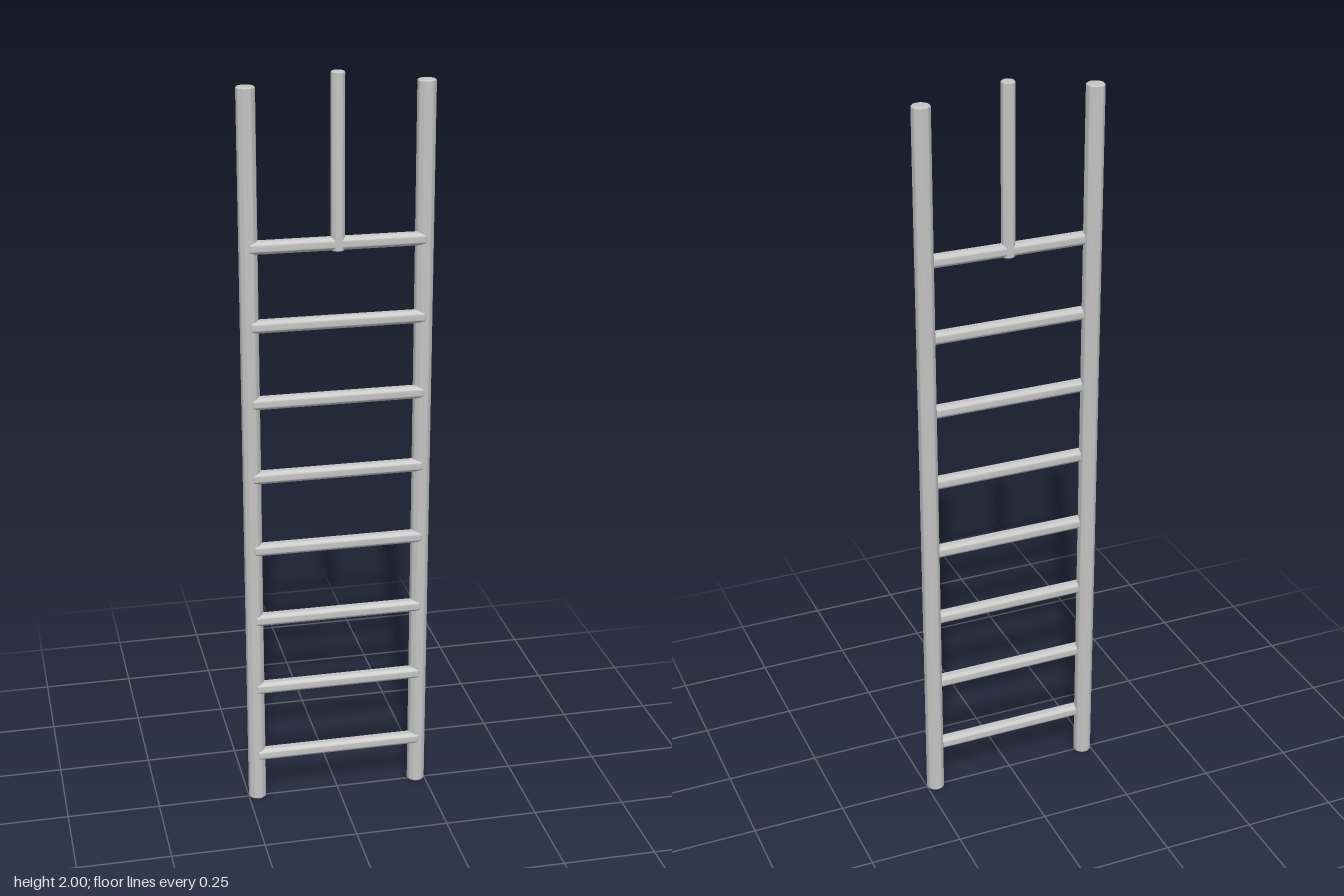
import * as THREE from 'three';
import { toCreasedNormals } from 'three/addons/utils/BufferGeometryUtils.js';

export function createModel() {
  const group = new THREE.Group();
  const metal = new THREE.MeshStandardMaterial({ color: 0xc4c4c4 });
  metal.name = 'light grey metal';

  // round rod with slightly bevelled ends
  const addRod = (name, radius, length, x, y, z) => {
    const h = length / 2;
    const bevel = 0.003;
    const profile = [
      [0, -h], [radius - bevel, -h], [radius, -h + bevel],
      [radius, h - bevel], [radius - bevel, h], [0, h],
    ].map(([r, v]) => new THREE.Vector2(r, v));
    const rod = new THREE.Mesh(toCreasedNormals(new THREE.LatheGeometry(profile, 32), 0.6), metal);
    rod.name = name;
    rod.position.set(x, y, z);
    group.add(rod);
    return rod;
  };

  // side rails
  addRod('leftRail', 0.024, 1.97, 0.226, 0.985, -0.002);
  addRod('rightRail', 0.024, 1.97, -0.226, 0.985, -0.002);

  // evenly spaced rungs, set slightly forward of the rails
  for (let i = 0; i < 8; i++) {
    addRod(`rung${i + 1}`, 0.018, 0.453, 0, 0.136 + i * 0.205, 0.0075).rotation.z = Math.PI / 2;
  }

  // centre post rising from the top rung
  addRod('centrePost', 0.018, 0.448, 0, 1.776, 0.0075);

  return group;
}
